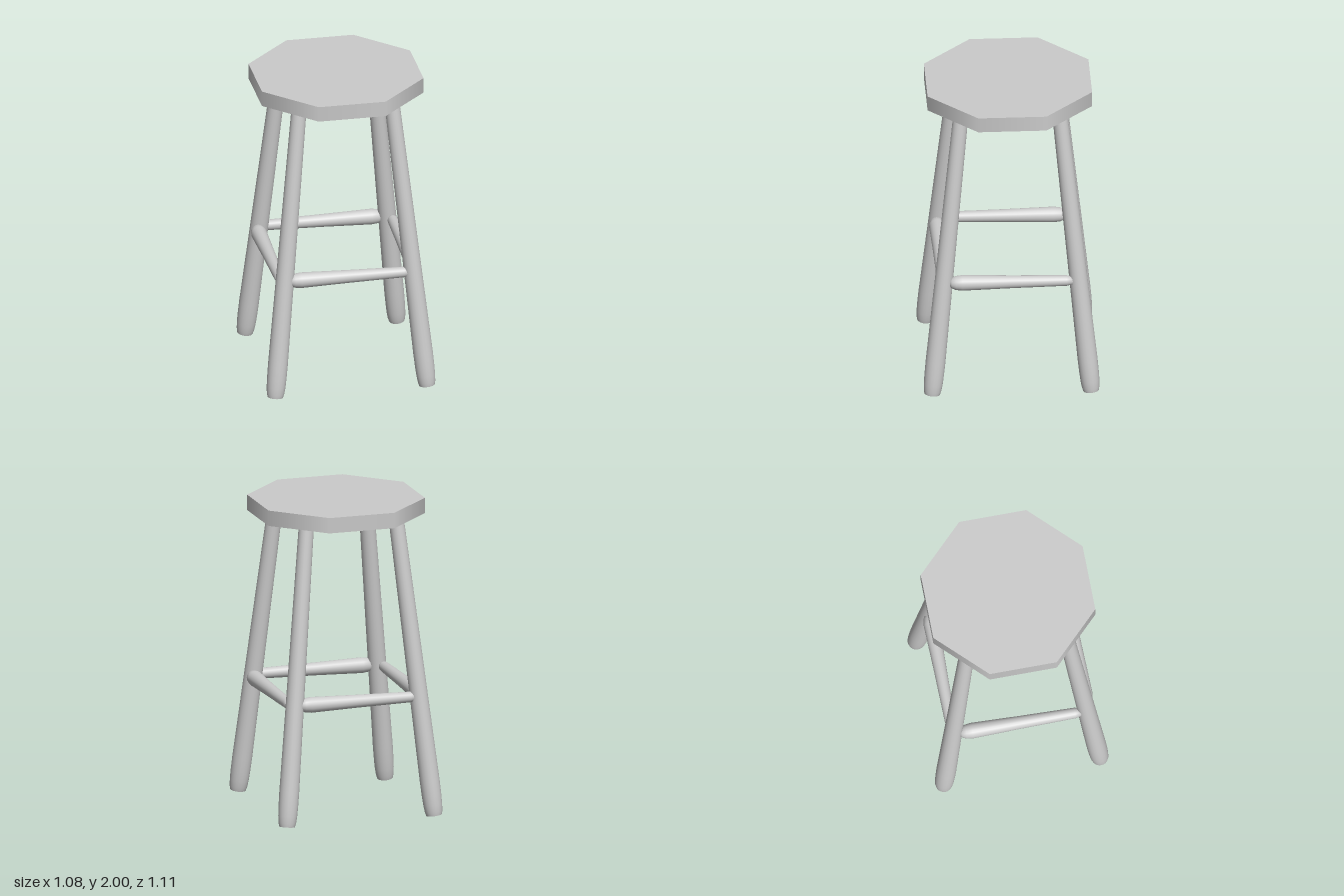
import * as THREE from 'three';

const profile = (pairs) => pairs.map(([r, y]) => new THREE.Vector2(r, y));

export function createModel() {
  const stool = new THREE.Group();
  stool.name = 'stool';
  const wood = new THREE.MeshStandardMaterial({ color: 0xcccccc });
  const openWood = new THREE.MeshStandardMaterial({ color: 0xcccccc, side: THREE.DoubleSide });

  const add = (name, geometry, material, parent = stool) => {
    const mesh = new THREE.Mesh(geometry, material);
    mesh.name = name;
    parent.add(mesh);
    return mesh;
  };

  // Eight-sided seat slab, turned very slightly
  const seat = add('seat',
    new THREE.CylinderGeometry(0.563, 0.563, 0.1, 8, 1, false, THREE.MathUtils.degToRad(22.9)), wood);
  seat.position.y = 1.95;

  // Splayed legs, open at the foot, tapering towards the seat
  const legGeometry = new THREE.LatheGeometry(profile([
    [0.05, 0], [0.056, 0.025], [0.06, 0.07], [0.062, 0.13], [0.063, 0.22],
    [0.058, 0.75], [0.048, 1.94],
  ]), 20);
  const up = new THREE.Vector3(0, 1, 0);
  for (const sx of [-1, 1]) {
    for (const sz of [-1, 1]) {
      const name = (sz > 0 ? 'front' : 'back') + (sx > 0 ? 'Left' : 'Right') + 'Leg';
      const leg = add(name, legGeometry, openWood);
      leg.position.set(sx * 0.488, 0.007, sz * 0.502);
      const axis = new THREE.Vector3(-sx * 0.1, 1, -sz * 0.1).normalize();
      leg.quaternion.setFromUnitVectors(up, axis);
    }
  }

  // Tapered rungs with rounded ends, each a quarter turn from the last
  const rungGeometry = new THREE.LatheGeometry(profile([
    [0, -0.395], [0.02, -0.39], [0.035, -0.375], [0.045, -0.35], [0.05, -0.31],
    [0.041, 0], [0.034, 0.35], [0.026, 0.385], [0, 0.4],
  ]), 20).rotateZ(-Math.PI / 2);
  ['frontRung', 'leftRung', 'backRung', 'rightRung'].forEach((name, i) => {
    const pivot = new THREE.Group();
    pivot.name = name + 'Pivot';
    pivot.rotation.y = i * Math.PI / 2;
    add(name, rungGeometry, wood, pivot).position.set(0, 0.77, 0.434);
    stool.add(pivot);
  });

  return stool;
}
